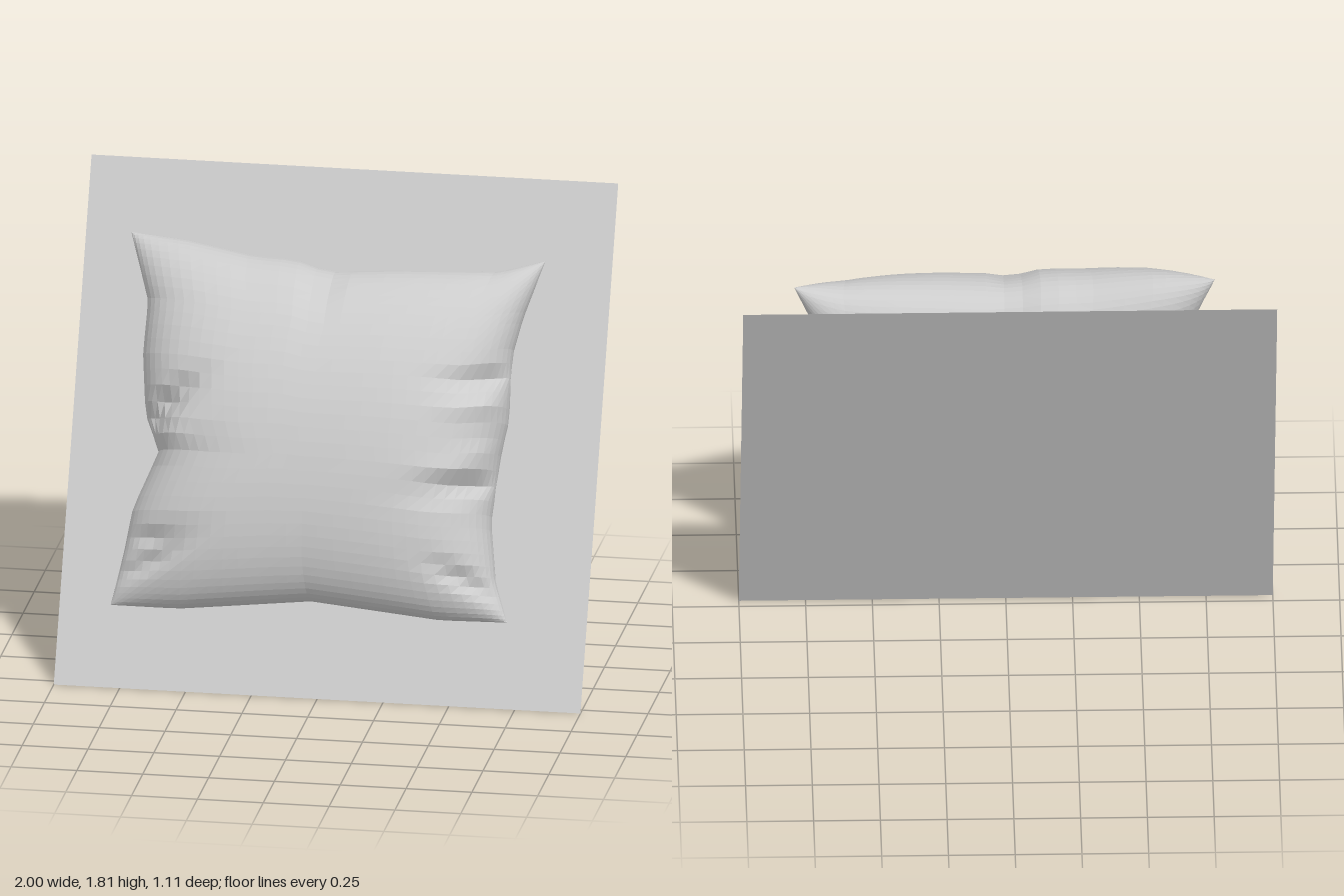
import * as THREE from 'three';

// Piecewise-linear lookup through [position, value] pairs
function along(points, p) {
  for (let i = 1; i < points.length; i++) {
    const [p0, v0] = points[i - 1], [p1, v1] = points[i];
    if (p <= p1) return v0 + (v1 - v0) * (p - p0) / (p1 - p0);
  }
  return points[points.length - 1][1];
}

// Outline of the seam, each edge running from -1 to 1
const leftEdge = [[-1, -0.755], [-0.73, -0.72], [-0.48, -0.695], [-0.17, -0.61],
  [0.02, -0.67], [0.35, -0.695], [0.63, -0.69], [1, -0.775]];
const rightEdge = [[-1, 0.75], [-0.78, 0.695], [-0.45, 0.66], [-0.07, 0.68],
  [0.1, 0.7], [0.48, 0.7], [0.68, 0.73], [1, 0.8]];
const topEdge = [[-1, 1.56], [-0.72, 1.54], [-0.4, 1.495], [-0.2, 1.49],
  [-0.04, 1.45], [0.3, 1.47], [0.78, 1.485], [1, 1.535]];
const bottomEdge = [[-1, 0.155], [-0.66, 0.155], [0, 0.21], [0.66, 0.165], [1, 0.17]];

// Folds: centre a, b; reach across a and b; slant; height (negative = groove)
const folds = [
  [0.95, 0.33, 0.25, 0.07, 0.1, -0.07], [0.95, 0.2, 0.25, 0.07, -0.1, 0.04],
  [0.95, -0.25, 0.28, 0.07, 0.15, -0.07], [0.95, -0.13, 0.25, 0.06, 0.15, 0.03],
  [-0.88, 0.05, 0.2, 0.07, 0.7, -0.07], [-0.9, -0.12, 0.2, 0.08, 0.4, 0.03],
  [-0.88, -0.8, 0.2, 0.06, 0.5, -0.05], [-0.85, -0.65, 0.18, 0.05, 0.2, -0.035],
  [0.9, -0.82, 0.18, 0.06, -0.5, -0.05], [-0.04, 0.97, 0.05, 0.22, 0, -0.035],
];

function foldHeight(a, b) {
  let h = 0;
  for (const [ca, cb, ra, rb, slant, height] of folds) {
    const da = (a - ca) / ra, db = (b - cb - slant * (a - ca)) / rb;
    h += height * Math.exp(-da * da - db * db);
  }
  return h;
}

// Two bulging panels that meet along the seam
function cushionGeometry(n = 36) {
  const positions = [], indices = [];
  for (const side of [1, -1]) {
    const start = positions.length / 3;
    for (let j = 0; j <= n; j++) {
      for (let i = 0; i <= n; i++) {
        const a = Math.sin((i / n - 0.5) * Math.PI);
        const b = Math.sin((j / n - 0.5) * Math.PI);
        const x = THREE.MathUtils.lerp(along(leftEdge, b), along(rightEdge, b), (a + 1) / 2);
        const y = THREE.MathUtils.lerp(along(bottomEdge, a), along(topEdge, a), (b + 1) / 2);
        const full = Math.sqrt(Math.max(0, (1 - Math.abs(a) ** 3.5) * (1 - b * b)));
        const bulge = full * 0.3 + foldHeight(a, b) * Math.min(1, full * 2);
        const seam = 0.59 + 0.012 * Math.sin(b * 2.5);
        positions.push(x, y, seam + side * Math.max(0, bulge));
      }
    }
    for (let j = 0; j < n; j++) {
      for (let i = 0; i < n; i++) {
        const p = start + j * (n + 1) + i, q = p + n + 1;
        if (side > 0) indices.push(p, p + 1, q + 1, p, q + 1, q);
        else indices.push(p, q + 1, p + 1, p, q, q + 1);
      }
    }
  }
  const geometry = new THREE.BufferGeometry();
  geometry.setAttribute('position', new THREE.Float32BufferAttribute(positions, 3));
  geometry.setIndex(indices);
  geometry.computeVertexNormals();
  return geometry;
}

export function createModel() {
  const model = new THREE.Group();
  model.name = 'leaningCushion';

  // Everything leans back by the same angle
  const lean = new THREE.Group();
  lean.name = 'leaningParts';
  lean.rotation.x = -Math.asin(0.425);
  model.add(lean);

  const cushion = new THREE.Mesh(cushionGeometry(),
    new THREE.MeshStandardMaterial({ color: 0xcccccc, flatShading: true, side: THREE.DoubleSide }));
  cushion.name = 'cushion';
  lean.add(cushion);

  // Thin square sheet behind the cushion
  const sheet = new THREE.Mesh(new THREE.PlaneGeometry(2, 2),
    new THREE.MeshStandardMaterial({ color: 0xcccccc, side: THREE.DoubleSide }));
  sheet.name = 'backSheet';
  sheet.position.set(0, 0.877, 0.262);
  lean.add(sheet);

  return model;
}
